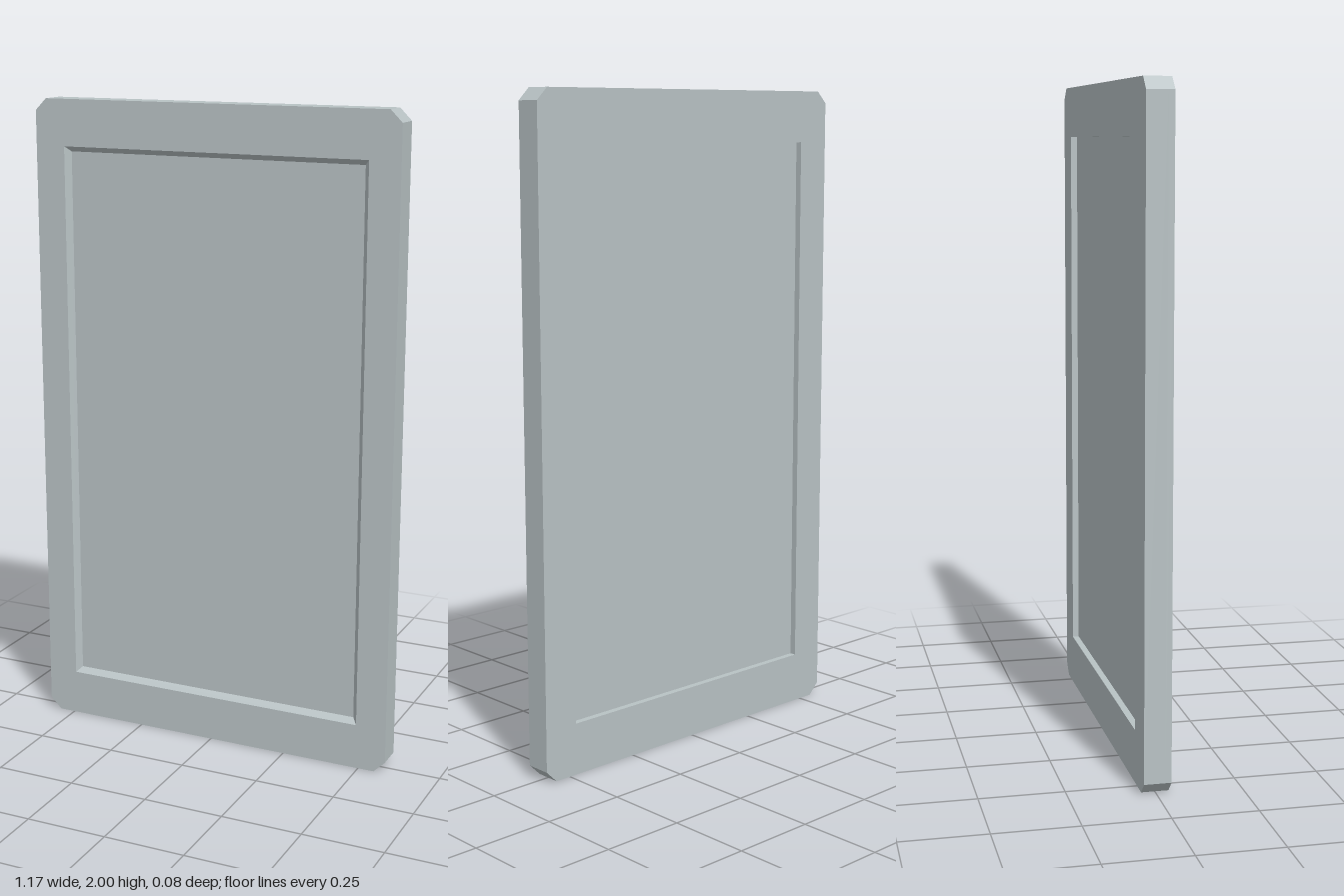
import * as THREE from 'three';

const W = 0.587, H = 1, D = 0.04;      // half sizes of the slab
const CHAMFER = 0.036;                 // cut corners
const PW = 0.475, PH = 0.842;          // half sizes of the recessed panel
const FRONT = 0.022, BACK = -0.02;     // panel faces
const BEVEL = 0.016;                   // slope around the front recess

export function createModel() {
  const group = new THREE.Group();
  group.name = 'framedPanel';
  const grey = new THREE.MeshStandardMaterial({ color: 0xb8c2c4 });
  grey.name = 'pale grey';

  // Frame outline with cut corners and a rectangular opening
  const c = CHAMFER;
  const outline = [
    [W - c, -H], [W, c - H], [W, H - c], [W - c, H],
    [c - W, H], [-W, H - c], [-W, c - H], [c - W, -H],
  ].map(([x, y]) => new THREE.Vector2(x, y));
  const opening = [[-PW, -PH], [-PW, PH], [PW, PH], [PW, -PH]]
    .map(([x, y]) => new THREE.Vector2(x, y));
  const shape = new THREE.Shape(outline);
  shape.holes.push(new THREE.Path(opening));
  const frameGeo = new THREE.ExtrudeGeometry(shape, { depth: 2 * D, steps: 2, bevelEnabled: false });
  frameGeo.translate(0, 0, -D);

  // Middle ring sits at the panel face; the front opening flares outwards from it
  const p = frameGeo.attributes.position;
  for (let i = 0; i < p.count; i++) {
    const x = p.getX(i), y = p.getY(i), z = p.getZ(i);
    if (Math.abs(z) < 0.001) p.setZ(i, FRONT);
    const onOpening = Math.abs(x) < PW + 0.001 && Math.abs(y) < PH + 0.001;
    if (z > D - 0.001 && onOpening) {
      p.setXY(i, x + Math.sign(x) * BEVEL, y + Math.sign(y) * BEVEL);
    }
  }
  frameGeo.computeVertexNormals();
  const frame = new THREE.Mesh(frameGeo, grey);
  frame.name = 'frame';
  frame.position.y = H;
  group.add(frame);

  // Panel recessed on both sides
  const panel = new THREE.Mesh(new THREE.BoxGeometry(2 * PW, 2 * PH, FRONT - BACK), grey);
  panel.name = 'panel';
  panel.position.set(0, H, (FRONT + BACK) / 2);
  group.add(panel);

  return group;
}
